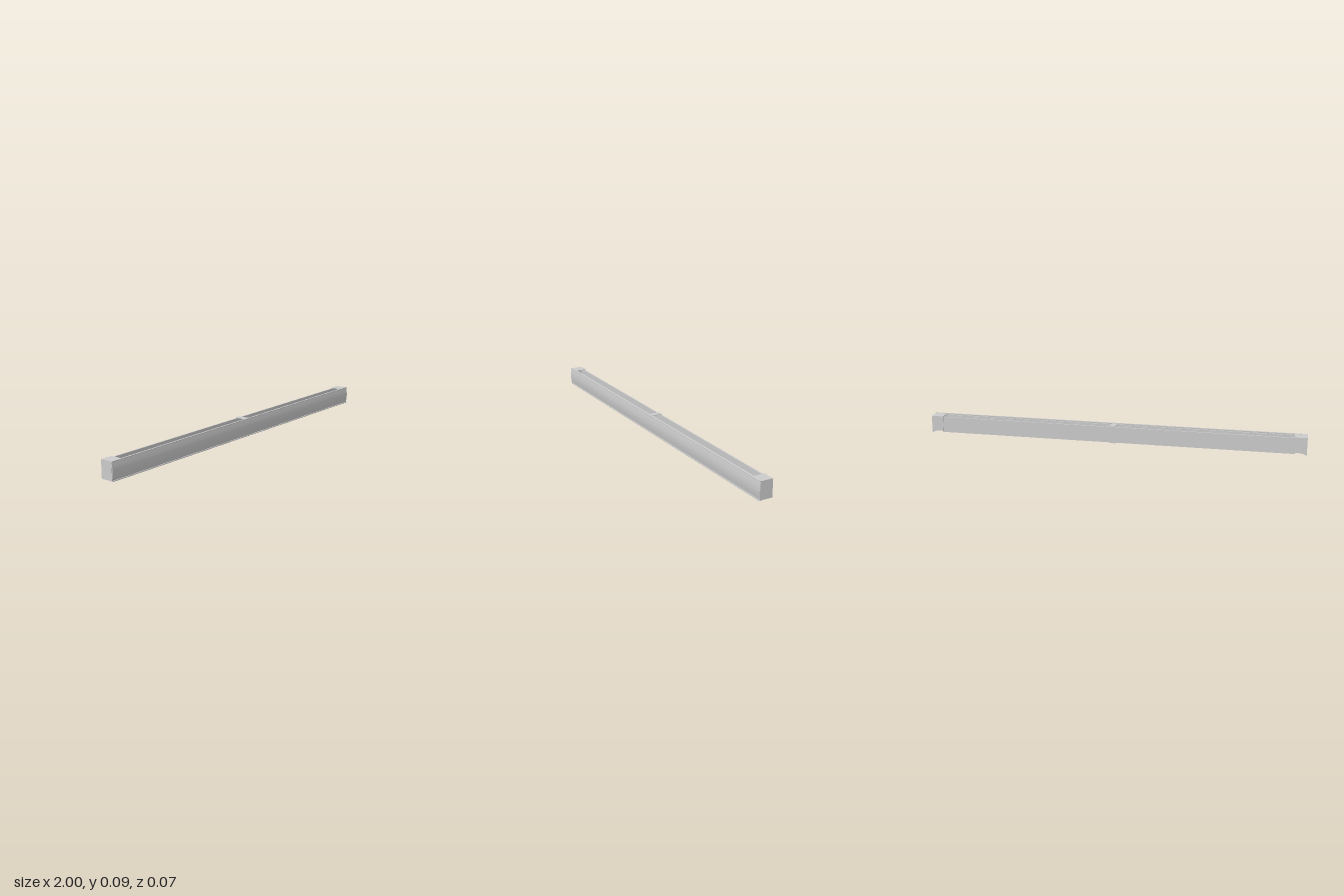
import * as THREE from 'three';

const material = new THREE.MeshStandardMaterial({ color: 0xcccccc, side: THREE.DoubleSide });

// Extrude a (z, y) section along x, centred on x = cx.
function section(name, points, length, cx = 0) {
  const shape = new THREE.Shape(points.map(([z, y]) => new THREE.Vector2(-z, y)));
  const geometry = new THREE.ExtrudeGeometry(shape, { depth: length, bevelEnabled: false });
  geometry.translate(0, 0, -length / 2).rotateY(Math.PI / 2).translate(cx, 0, 0);
  const mesh = new THREE.Mesh(geometry, material);
  mesh.name = name;
  return mesh;
}

// Box given by its lower and upper corners.
function box(name, a, b) {
  const mesh = new THREE.Mesh(new THREE.BoxGeometry(b[0] - a[0], b[1] - a[1], b[2] - a[2]), material);
  mesh.position.set((a[0] + b[0]) / 2, (a[1] + b[1]) / 2, (a[2] + b[2]) / 2);
  mesh.name = name;
  return mesh;
}

function endBracket(side) {
  const group = new THREE.Group();
  group.name = side > 0 ? 'leftEndBracket' : 'rightEndBracket';
  const span = (x0, x1) => (side > 0 ? [x0, x1] : [-x1, -x0]);
  const part = (name, x0, x1, y0, y1, z0, z1) => {
    const [l, r] = span(x0, x1);
    group.add(box(name, [l, y0, z0], [r, y1, z1]));
  };
  part('endPlate', 0.995, 0.999, 0.002, 0.094, -0.035, 0.029);
  part('topPlate', 0.935, 0.999, 0.091, 0.094, -0.035, 0.029);

  // Back plate with a hollow lower edge
  const s = new THREE.Shape();
  s.moveTo(0.935 * side, 0.092);
  s.lineTo(0.997 * side, 0.092);
  s.lineTo(0.997 * side, 0.002);
  s.quadraticCurveTo(0.98 * side, 0.016, 0.935 * side, 0.012);
  const back = new THREE.Mesh(new THREE.ExtrudeGeometry(s, { depth: 0.003, bevelEnabled: false }), material);
  back.position.z = -0.035;
  back.name = 'backPlate';
  group.add(back);
  return group;
}

export function createModel() {
  const model = new THREE.Group();
  model.name = 'headrail';

  // Front valance: gently bowed face with a lip along each edge
  const face = [], inner = [];
  for (let i = 0; i <= 8; i++) {
    const t = i / 8;
    const bow = 0.03 + 0.005 * Math.sin(Math.PI * t);
    face.push([bow, 0.004 + 0.087 * t]);
    inner.unshift([bow - 0.003, 0.004 + 0.087 * t]);
  }
  model.add(section('valance', [
    [0.027, 0], [0.035, 0], [0.035, 0.004], ...face,
    [0.035, 0.091], [0.035, 0.095], [0.027, 0.095], ...inner,
  ], 2));

  // Open-topped channel with rolled inner lips
  model.add(section('channel', [
    [-0.032, 0.006], [0.024, 0.006], [0.024, 0.09], [0.017, 0.09], [0.017, 0.087],
    [0.021, 0.087], [0.021, 0.009], [-0.029, 0.009], [-0.029, 0.087],
    [-0.025, 0.087], [-0.025, 0.09], [-0.032, 0.09],
  ], 1.88));

  // Centre support clip wrapped around the channel
  model.add(section('centreSupport', [
    [0.027, 0.094], [-0.034, 0.094], [-0.034, 0.003], [0.02, 0.003], [0.02, 0.005],
    [-0.0325, 0.005], [-0.0325, 0.091], [0.027, 0.091],
  ], 0.03, -0.003));

  for (const side of [1, -1]) model.add(endBracket(side));
  return model;
}
